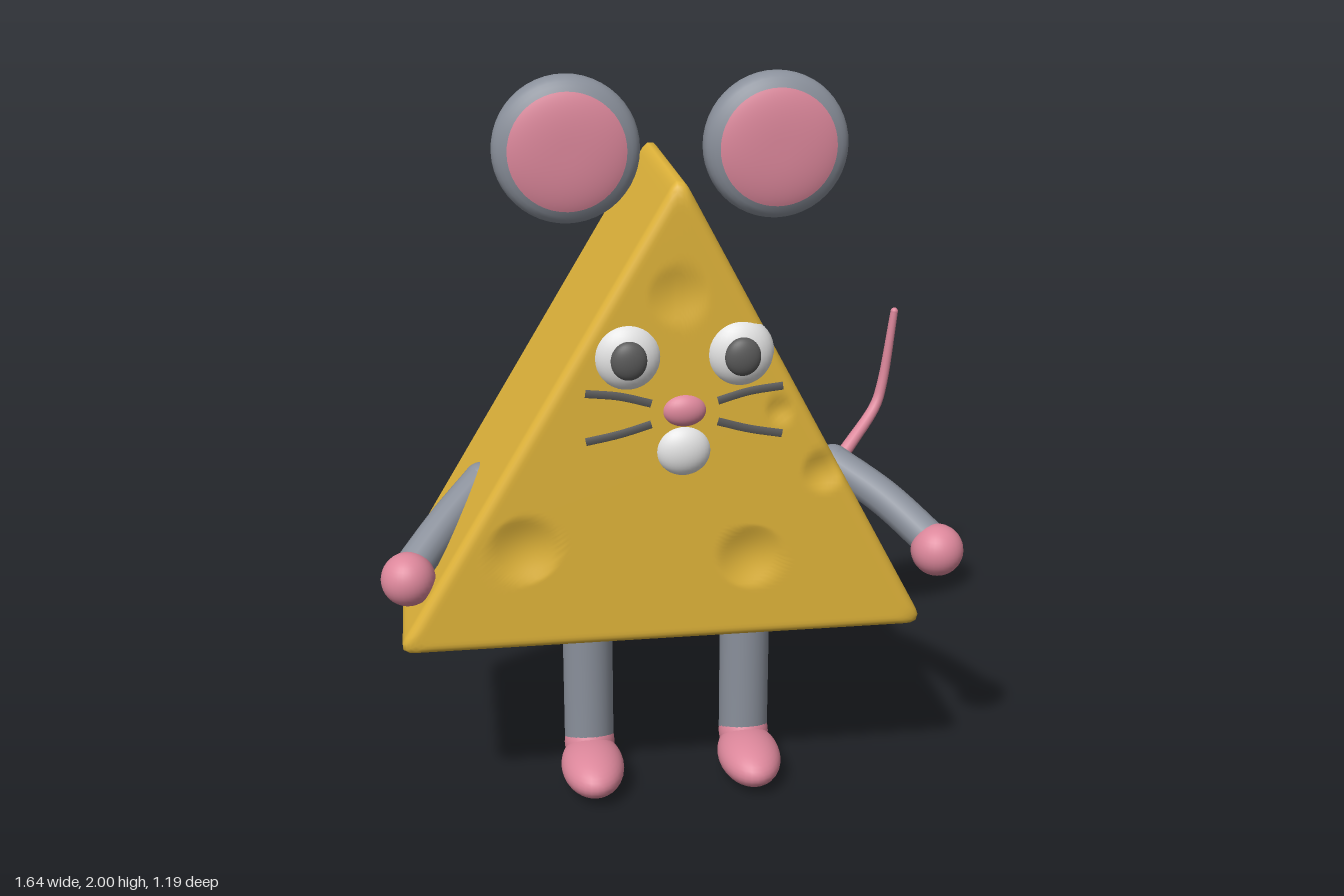
import * as THREE from 'three';

const mat = (name, color) => Object.assign(new THREE.MeshStandardMaterial({ color }), { name });
const V = (x, y, z) => new THREE.Vector3(x, y, z);

export function createModel() {
  const cheese = mat('cheese yellow', 0xe0b43a);
  const grey = mat('mouse grey', 0x8a909b);
  const pink = mat('soft pink', 0xdc879b);
  const white = mat('eye white', 0xe2e2e2);
  const dark = mat('dark grey', 0x5a5a5a);
  const group = new THREE.Group();

  const add = (name, geometry, material, x = 0, y = 0, z = 0) => {
    const mesh = new THREE.Mesh(geometry, material);
    mesh.name = name;
    mesh.position.set(x, y, z);
    group.add(mesh);
    return mesh;
  };
  const blob = (name, material, x, y, z, rx, ry = rx, rz = rx) =>
    add(name, new THREE.SphereGeometry(1, 32, 20).scale(rx, ry, rz), material, x, y, z);

  // Tube whose radius follows a rule along its length
  const taperedTube = (points, radiusAt, steps = 40, sides = 14) => {
    const curve = new THREE.CatmullRomCurve3(points);
    const geo = new THREE.TubeGeometry(curve, steps, 1, sides);
    const pos = geo.attributes.position;
    const p = V(0, 0, 0);
    for (let i = 0; i < pos.count; i++) {
      const t = Math.floor(i / (sides + 1)) / steps;
      const c = curve.getPointAt(t);
      p.fromBufferAttribute(pos, i).sub(c).multiplyScalar(radiusAt(t)).add(c);
      pos.setXYZ(i, p.x, p.y, p.z);
    }
    return geo;
  };

  add('cheeseBody', bodyGeometry(), cheese);

  // Ears: flattened discs with a pink front
  const earPart = (from, to) => {
    const pts = [];
    for (let i = 0; i <= 16; i++) {
      const a = THREE.MathUtils.degToRad(from + (to - from) * i / 16);
      const s = Math.sin(a);
      pts.push(new THREE.Vector2(0.188 * Math.max(Math.cos(a), 0) ** 0.75,
        0.068 * Math.sign(s) * Math.abs(s) ** 0.75));
    }
    return new THREE.LatheGeometry(pts, 48).rotateX(Math.PI / 2);
  };
  for (const [side, x] of [['right', -0.308], ['left', 0.229]]) {
    add(side + 'Ear', earPart(-90, 42), grey, x, 1.813, 0.325);
    add(side + 'InnerEar', earPart(42, 90), pink, x, 1.813, 0.325);
  }

  // Face
  for (const [side, x] of [['right', -0.18], ['left', 0.107]]) {
    blob(side + 'Eye', white, x, 1.325, 0.522, 0.088, 0.089, 0.058);
    blob(side + 'Pupil', dark, x, 1.325, 0.57, 0.046, 0.05, 0.025);
  }
  blob('nose', pink, -0.036, 1.18, 0.532, 0.058, 0.044, 0.035);
  blob('muzzle', white, -0.038, 1.072, 0.53, 0.072, 0.068, 0.045);

  // Whiskers: flat bent strips
  for (const s of [-1, 1]) {
    for (const [name, y0, y1, y2] of [['upper', 1.203, 1.225, 1.236], ['lower', 1.148, 1.125, 1.108]]) {
      const geo = taperedTube([V(s * 0.085, y0, 0), V(s * 0.165, y1, 0), V(s * 0.252, y2, 0)],
        () => 0.013, 12, 8).scale(1, 1, 0.35);
      add(name + 'Whisker', geo, dark, -0.036, 0, 0.541);
    }
  }

  // Arms and hands
  const arms = [
    ['right', [V(-0.545, 0.895, 0.21), V(-0.645, 0.82, 0.315), V(-0.75, 0.73, 0.44)]],
    ['left', [V(0.435, 0.895, 0.2), V(0.555, 0.825, 0.315), V(0.67, 0.73, 0.445)]],
  ];
  for (const [side, path] of arms) {
    add(side + 'Arm', taperedTube(path, () => 0.05, 20), grey);
    blob(side + 'Shoulder', grey, path[0].x, path[0].y, path[0].z, 0.05);
    blob(side + 'Hand', pink, path[2].x, 0.722, 0.455, 0.071);
  }

  // Legs flare where they meet the body; feet point forward
  const legProfile = [[0.07, 0.1], [0.07, 0.48], [0.073, 0.515], [0.08, 0.535], [0.09, 0.546]]
    .map(([r, y]) => new THREE.Vector2(r, y));
  for (const [side, x] of [['right', -0.265], ['left', 0.183]]) {
    add(side + 'Leg', new THREE.LatheGeometry(legProfile, 28), grey, x, 0, 0.235);
    blob(side + 'Heel', pink, x, 0.095, 0.243, 0.0715, 0.077, 0.074);
    blob(side + 'Foot', pink, x, 0.067, 0.335, 0.088, 0.065, 0.146);
  }

  // Tail
  const tailPath = [V(0.29, 0.625, -0.05), V(0.36, 0.617, -0.16), V(0.49, 0.595, -0.33), V(0.55, 0.6, -0.41),
    V(0.66, 0.7, -0.49), V(0.755, 0.8, -0.56), V(0.778, 0.87, -0.573), V(0.81, 1.11, -0.576)];
  add('tail', taperedTube(tailPath, t => 0.032 - 0.02 * t + 0.02 * Math.exp(-t * 20), 60), pink);
  blob('tailTip', pink, 0.81, 1.11, -0.576, 0.012);

  return group;
}

// Rounded triangular wedge made of nested outlines, with dents pressed into both faces
function bodyGeometry() {
  const corners = [[-0.79, 0.54], [0.622, 0.54], [-0.045, 1.785]].map(c => new THREE.Vector2(...c));
  const shape = new THREE.Shape();
  corners.forEach((c, i) => {
    const toward = k => corners[k % 3].clone().sub(c).setLength(0.05).add(c);
    const a = toward(i + 2), b = toward(i + 1);
    if (i === 0) shape.moveTo(a.x, a.y); else shape.lineTo(a.x, a.y);
    shape.quadraticCurveTo(c.x, c.y, b.x, b.y);
  });
  shape.closePath();
  const n = 240;
  const outline = shape.getSpacedPoints(n).slice(0, n);

  const cx = -0.065, cy = 0.95, front = 0.543, back = -0.08, bevel = 0.028, inradius = 0.41;
  const inner = 1 - bevel / inradius;
  const rings = [];   // [scale, z]
  for (let i = 0; i <= 40; i++) rings.push([inner * i / 40, front]);
  for (let i = 1; i <= 5; i++) {
    const a = i / 5 * Math.PI / 2;
    rings.push([inner + (1 - inner) * Math.sin(a), front - bevel * (1 - Math.cos(a))]);
  }
  rings.push([1, front - bevel - 0.01], [1, (front + back) / 2]);
  const half = rings.slice(0, -1).reverse().map(([s, z]) => [s, front + back - z]);
  rings.push(...half);

  // x, y, radius, depth
  const frontDents = [[-0.45, 0.82, 0.095, 0.022], [0.14, 0.77, 0.09, 0.02], [-0.05, 1.48, 0.08, 0.012],
    [0.21, 1.17, 0.04, 0.01], [0.33, 1.0, 0.06, 0.015]];
  const backDents = [[0.11, 1.24, 0.07, 0.035], [0.48, 0.69, 0.09, 0.045]];
  const press = (dents, x, y) => dents.reduce((sum, [dx, dy, r, depth]) => {
    const d = Math.hypot(x - dx, y - dy) / r;
    return sum + (d < 1 ? depth * (1 - d * d) ** 1.3 : 0);
  }, 0);

  const position = [], index = [];
  rings.forEach(([s, z], i) => outline.forEach((p, j) => {
    const x = cx + (p.x - cx) * s, y = cy + (p.y - cy) * s;
    let push = 0;
    if (z > front - bevel * 1.1) push = -press(frontDents, x, y);
    else if (z < back + bevel * 1.1) push = press(backDents, x, y);
    position.push(x, y, z + push);
    if (i + 1 < rings.length) {
      const k = (j + 1) % n, a = i * n + j, b = a + n, c = (i + 1) * n + k, d = i * n + k;
      index.push(a, b, c, a, c, d);
    }
  }));
  const geo = new THREE.BufferGeometry();
  geo.setAttribute('position', new THREE.Float32BufferAttribute(position, 3));
  geo.setIndex(index);
  geo.computeVertexNormals();
  return geo;
}
